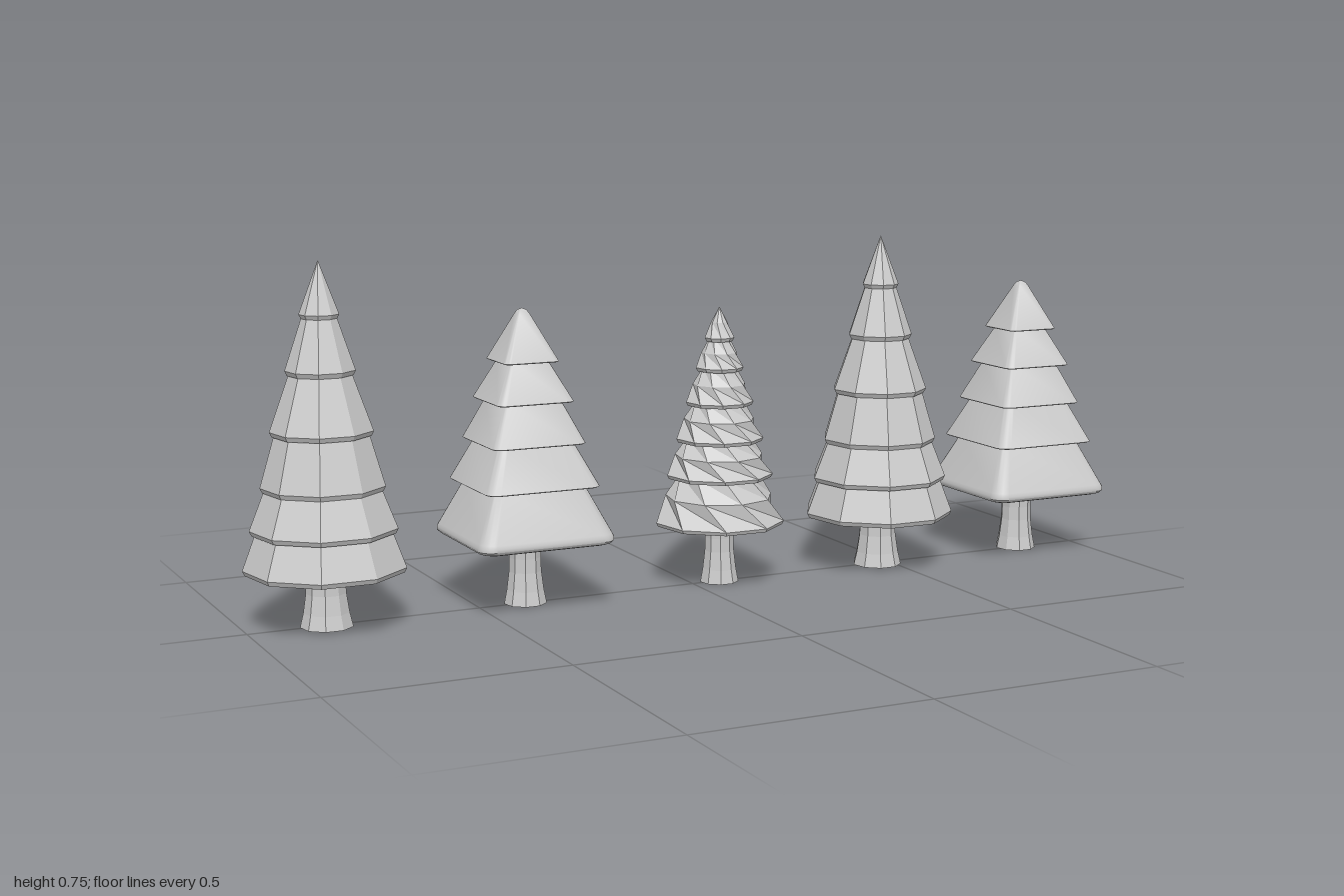
import * as THREE from 'three';
import { toCreasedNormals } from 'three/addons/utils/BufferGeometryUtils.js';

const flat = new THREE.MeshStandardMaterial({ color: 0xcccccc, flatShading: true });
const smooth = new THREE.MeshStandardMaterial({ color: 0xcccccc });
const SIDES = 9;

// Faceted solid of revolution with one corner at the back
function lathe(profile, sides = SIDES) {
  const points = profile.map(([r, y]) => new THREE.Vector2(r, y));
  return new THREE.LatheGeometry(points, sides, Math.PI);
}

function addMesh(group, name, geometry, material) {
  const mesh = new THREE.Mesh(geometry, material);
  mesh.name = name;
  group.add(mesh);
}

// Flared trunk, widest at the ground
function addTrunk(group, r, top) {
  addMesh(group, 'trunk', lathe([
    [0, 0], [r, 0], [r * 0.87, 0.03], [r * 0.76, 0.07], [r * 0.74, 0.1], [r * 0.78, top], [0, top],
  ]), flat);
}

// Tall tree: straight nine-sided tiers with thick hems and a hollow lowest skirt
function tallTree() {
  const tree = new THREE.Group();
  tree.name = 'tallTree';
  addTrunk(tree, 0.055, 0.15);
  const tiers = [ // hem radius, hem y, radius where the next tier starts
    [0.168, 0.115, 0.139], [0.152, 0.196, 0.119], [0.128, 0.283, 0.096],
    [0.106, 0.396, 0.063], [0.072, 0.519, 0.035], [0.041, 0.632, 0],
  ];
  const profile = [[0, 0.14], [0.138, 0.14]];
  tiers.forEach(([r, y, neck], i) => {
    const next = i < 5 ? tiers[i + 1][1] + 0.006 : 0.75;
    profile.push([r - 0.005, y], [r, y + 0.01], [neck, next]);
  });
  addMesh(tree, 'foliage', lathe(profile), flat);
  return tree;
}

// Twisted tree: every tier turns between its hem and its neck
function twistedTree() {
  const tree = new THREE.Group();
  tree.name = 'twistedTree';
  addTrunk(tree, 0.043, 0.15);
  const tiers = [
    [0.143, 0.13, 0.088], [0.118, 0.235, 0.072], [0.097, 0.315, 0.054],
    [0.075, 0.395, 0.037], [0.053, 0.47, 0.022], [0.033, 0.535, 0],
  ];
  const profile = [[0, 0.135]], turns = [0];
  tiers.forEach(([r, y, neck], i) => {
    const next = i < 5 ? tiers[i + 1][1] + 0.008 : 0.61;
    profile.push([r - 0.004, y], [r, y + 0.008], [r * 0.55 + neck * 0.45, y + 0.55 * (next - y)], [neck, next]);
    turns.push(0, 0, -0.38, -0.7);
  });
  const geometry = lathe(profile);
  const pos = geometry.attributes.position;
  const v = new THREE.Vector3(), up = new THREE.Vector3(0, 1, 0);
  for (let i = 0; i < pos.count; i++) {
    v.fromBufferAttribute(pos, i).applyAxisAngle(up, turns[i % profile.length]);
    pos.setXYZ(i, v.x, v.y, v.z);
  }
  addMesh(tree, 'foliage', geometry, flat);
  return tree;
}

// Square tree: tiers with a rounded-square section, soft hem and soft tip
function squareTree() {
  const tree = new THREE.Group();
  tree.name = 'squareTree';
  addTrunk(tree, 0.046, 0.16);
  const tiers = [
    [0.127, 0.26, 0.084], [0.104, 0.35, 0.064], [0.085, 0.437, 0.043],
  ];
  const profile = [[0, 0.14], [0.138, 0.14], [0.146, 0.143], [0.151, 0.149], [0.151, 0.156], [0.148, 0.163], [0.102, 0.262]];
  tiers.forEach(([h, y, neck], i) => {
    const next = i < 2 ? tiers[i + 1][1] : 0.52;
    profile.push([h - 0.003, y], [h, y + 0.002], [neck, next + 0.002]);
  });
  profile.push([0.058, 0.52], [0.061, 0.522], [0.013, 0.619], [0.008, 0.627], [0, 0.631]);

  // Remap each lathe column to a point on a rounded square
  const steps = 6, columns = 4 * (steps + 1);
  const geometry = lathe(profile, columns);
  const pos = geometry.attributes.position;
  for (let i = 0; i < pos.count; i++) {
    const column = Math.floor(i / profile.length) % columns;
    const h = profile[i % profile.length][0], round = h * 0.2;
    const corner = Math.floor(column / (steps + 1));
    const angle = (corner + (column % (steps + 1)) / steps) * Math.PI / 2;
    const mid = (corner + 0.5) * Math.PI / 2;
    pos.setX(i, Math.sign(Math.sin(mid)) * (h - round) + Math.sin(angle) * round);
    pos.setZ(i, Math.sign(Math.cos(mid)) * (h - round) + Math.cos(angle) * round);
  }
  addMesh(tree, 'foliage', toCreasedNormals(geometry, 0.7), smooth);
  return tree;
}

export function createModel() {
  const model = new THREE.Group();
  model.name = 'treeRow';
  const row = [
    [tallTree, -0.834, 0.004], [squareTree, -0.395, -0.003], [twistedTree, 0.065, -0.001],
    [tallTree, 0.466, 0.004], [squareTree, 0.848, -0.003],
  ];
  for (const [make, x, z] of row) {
    const tree = make();
    tree.position.set(x, 0, z);
    model.add(tree);
  }
  return model;
}
